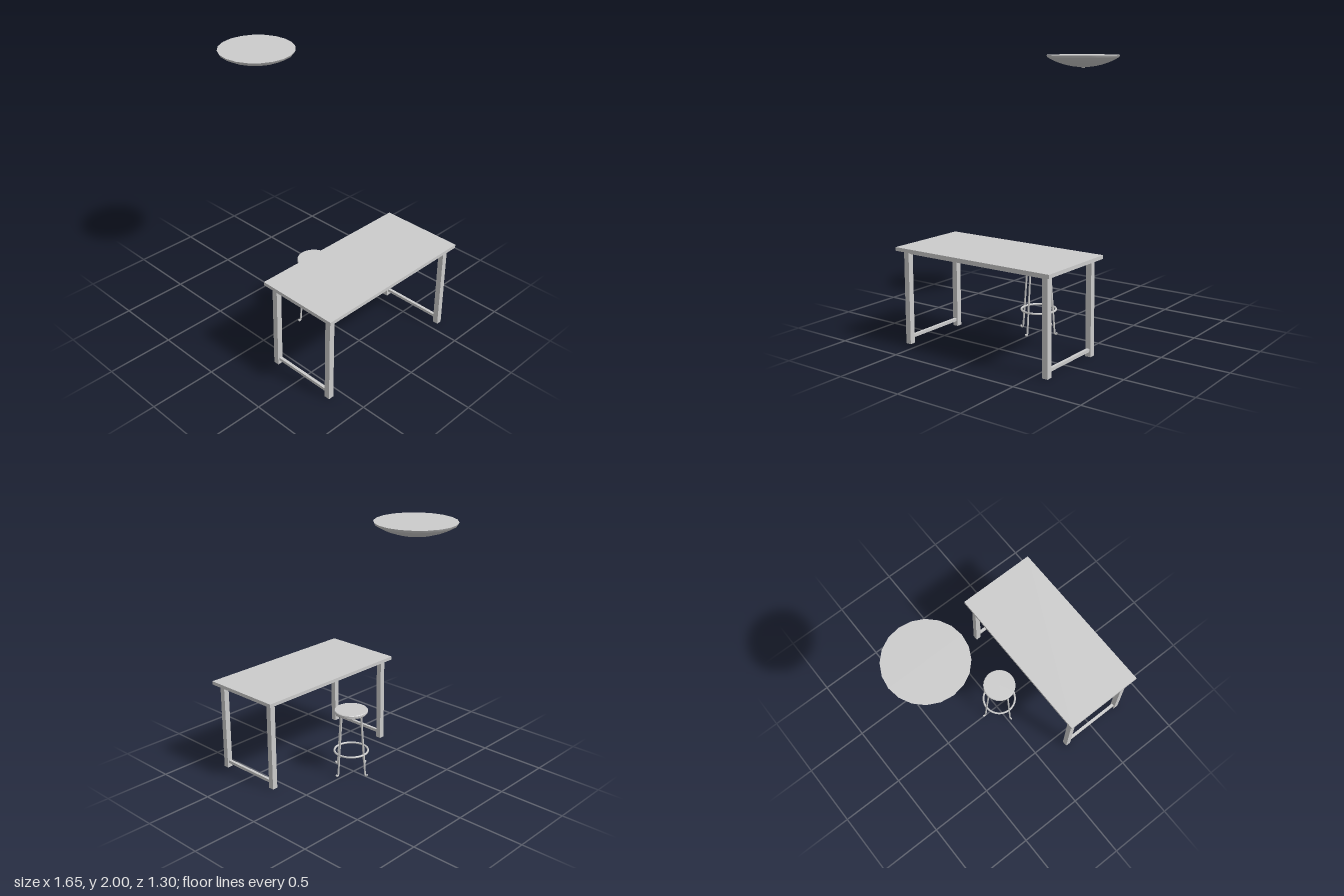
import * as THREE from 'three';

const material = new THREE.MeshStandardMaterial({ color: 0xcccccc });

function add(parent, name, geometry, x = 0, y = 0, z = 0) {
  const mesh = new THREE.Mesh(geometry, material);
  mesh.name = name;
  mesh.position.set(x, y, z);
  parent.add(mesh);
  return mesh;
}

function addGroup(parent, name, x) {
  const group = new THREE.Group();
  group.name = name;
  group.position.x = x;
  parent.add(group);
  return group;
}

const box = (w, h, d) => new THREE.BoxGeometry(w, h, d);
const points = (list) => list.map(([x, y]) => new THREE.Vector2(x, y));

function buildTable(parent) {
  const table = addGroup(parent, 'table', 0.508);
  const legX = 0.253, legZ = 0.588, legSize = 0.042;
  add(table, 'tableTop', box(0.632, 0.026, 1.296), 0, 0.686, 0);

  for (const sx of [-1, 1]) {
    for (const sz of [-1, 1]) {
      add(table, 'tableLeg', box(legSize, 0.673, legSize), sx * legX, 0.3365, sz * legZ);
    }
    // Long rails under the top
    add(table, 'sideRail', box(0.022, 0.022, 2 * legZ - legSize), sx * legX, 0.662, 0);
  }
  // Short rails and foot stretchers at both ends
  for (const sz of [-1, 1]) {
    const span = 2 * legX - legSize;
    add(table, 'endRail', box(span, 0.022, 0.022), 0, 0.662, sz * legZ);
    add(table, 'footStretcher', box(span, 0.022, 0.022), 0, 0.047, sz * legZ);
  }
}

function buildStool(parent) {
  const stool = addGroup(parent, 'stool', 0.025);
  // Seat disc with softened edges
  const seat = new THREE.LatheGeometry(points([
    [0, 0.482], [0.121, 0.482], [0.121, 0.482], [0.125, 0.486], [0.125, 0.486],
    [0.125, 0.499], [0.125, 0.499], [0.121, 0.503], [0.121, 0.503], [0, 0.503],
  ]), 28);
  add(stool, 'seat', seat);

  // Support ring below the seat and foot ring
  const seatRing = add(stool, 'seatRing', new THREE.TorusGeometry(0.105, 0.009, 8, 28), 0, 0.477, 0);
  const footRing = add(stool, 'footRing', new THREE.TorusGeometry(0.127, 0.008, 8, 28), 0, 0.17, 0);
  seatRing.rotation.x = footRing.rotation.x = Math.PI / 2;

  // Splayed leg ending in an outward hooked foot
  const path = new THREE.CurvePath();
  const v = (x, y) => new THREE.Vector3(x, y, 0);
  path.add(new THREE.LineCurve3(v(0.102, 0.48), v(0.14, 0.03)));
  path.add(new THREE.QuadraticBezierCurve3(v(0.14, 0.03), v(0.142, 0.006), v(0.15, 0.007)));
  path.add(new THREE.QuadraticBezierCurve3(v(0.15, 0.007), v(0.159, 0.007), v(0.161, 0.016)));
  const legShape = new THREE.TubeGeometry(path, 60, 0.007, 8);
  const capShape = new THREE.SphereGeometry(0.007, 8, 6);
  for (let i = 0; i < 4; i++) {
    const leg = new THREE.Group();
    leg.name = 'stoolLeg';
    leg.rotation.y = i * Math.PI / 2;
    add(leg, 'legTube', legShape);
    add(leg, 'footTip', capShape, 0.161, 0.016, 0);
    stool.add(leg);
  }
}

function buildLamp(parent) {
  const lamp = addGroup(parent, 'ceilingLamp', -0.55);
  // Shallow bowl with a stepped rim, closed at the top
  const bowl = new THREE.LatheGeometry(points([
    [0, 1.91], [0.04, 1.911], [0.09, 1.917], [0.14, 1.928], [0.19, 1.944],
    [0.23, 1.961], [0.255, 1.975], [0.262, 1.981], [0.27, 1.983], [0.278, 2],
  ]), 20);
  add(lamp, 'bowl', bowl);
  const lid = add(lamp, 'lid', new THREE.CircleGeometry(0.278, 20), 0, 2, 0);
  lid.rotation.x = -Math.PI / 2;
  // Small knob at the bottom centre
  add(lamp, 'knob', new THREE.CylinderGeometry(0.018, 0.012, 0.01, 12), 0, 1.909, 0);
}

export function createModel() {
  const model = new THREE.Group();
  model.name = 'diningSet';
  buildTable(model);
  buildStool(model);
  buildLamp(model);
  return model;
}
